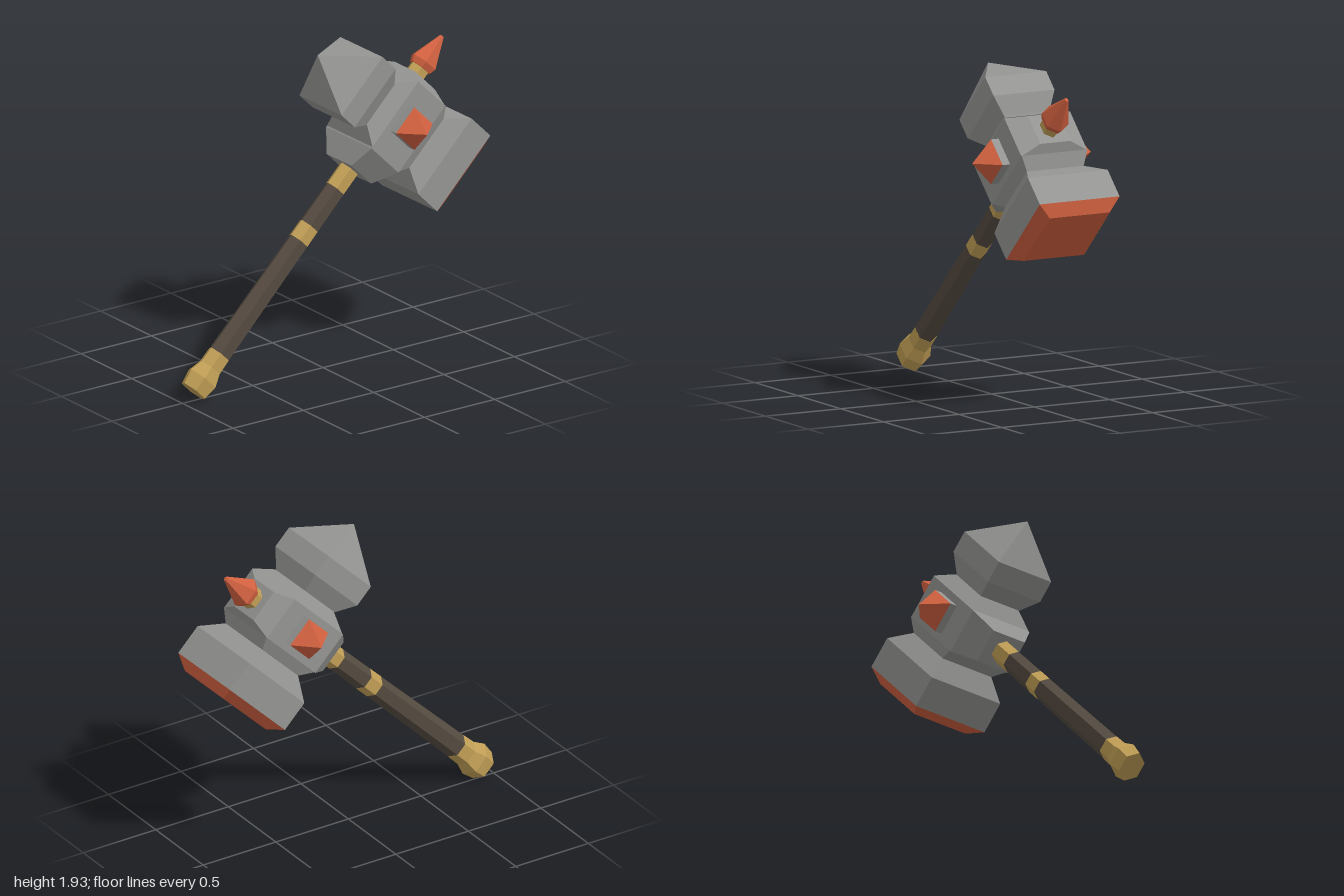
import * as THREE from 'three';

const mat = (name, color) => {
  const m = new THREE.MeshStandardMaterial({ color, flatShading: true });
  m.name = name;
  return m;
};

// Closed solid from [height, halfX, halfZ] rings along y, four sided (box-like) or n sided
function loft(sections, n) {
  const pos = [];
  const k = n === 4 ? Math.SQRT2 : 1;
  const turn = n === 4 ? Math.PI / 4 : 0;
  const point = (s, i) => {
    const t = turn + (i / n) * Math.PI * 2;
    return [s[1] * k * Math.cos(t), s[0], s[2] * k * Math.sin(t)];
  };
  const first = sections[0], last = sections[sections.length - 1];
  for (let i = 0; i < n; i++) {
    for (let r = 0; r < sections.length - 1; r++) {
      const lo = sections[r], up = sections[r + 1];
      pos.push(...point(lo, i), ...point(up, i), ...point(lo, i + 1));
      pos.push(...point(lo, i + 1), ...point(up, i), ...point(up, i + 1));
    }
    pos.push(0, first[0], 0, ...point(first, i), ...point(first, i + 1));
    pos.push(0, last[0], 0, ...point(last, i + 1), ...point(last, i));
  }
  const g = new THREE.BufferGeometry();
  g.setAttribute('position', new THREE.Float32BufferAttribute(pos, 3));
  g.computeVertexNormals();
  return g;
}

export function createModel() {
  const stone = mat('grey stone', 0x949492);
  const red = mat('orange red', 0xd0603f);
  const gold = mat('brass', 0xc09e55);
  const wood = mat('dark wood', 0x544a40);

  // Hammer is built upright about the centre of its head, then tilted
  const hammer = new THREE.Group();
  hammer.name = 'hammer';
  const add = (name, sections, n, material, rx = 0, rz = 0) => {
    const m = new THREE.Mesh(loft(sections, n), material);
    m.name = name;
    m.rotation.set(rx, 0, rz);
    hammer.add(m);
    return m;
  };
  const hex = (y, r) => [y, r, r * 0.866];
  const toRight = -Math.PI / 2, toLeft = Math.PI / 2;

  // Handle: pommel, grips and flush rings
  add('pommel', [hex(-1.962, 0.092), hex(-1.874, 0.107), hex(-1.796, 0.079), hex(-1.7, 0.077)], 6, gold);
  add('lowerGrip', [hex(-1.7, 0.076), hex(-0.894, 0.07)], 6, wood);
  add('middleRing', [hex(-0.894, 0.071), hex(-0.788, 0.07)], 6, gold);
  add('upperGrip', [hex(-0.788, 0.07), hex(-0.523, 0.068)], 6, wood);
  add('collar', [hex(-0.523, 0.069), hex(-0.36, 0.069)], 6, gold);

  // Head core with tapered top, bottom and sides
  add('headCore', [[-0.38, 0.1, 0.12], [-0.245, 0.137, 0.22], [0.23, 0.137, 0.22], [0.285, 0.1, 0.1]], 4, stone);
  add('coreRightSide', [[0.137, 0.235, 0.22], [0.208, 0.175, 0.19]], 4, stone, 0, toRight);
  add('coreLeftSide', [[0.137, 0.235, 0.22], [0.212, 0.145, 0.15]], 4, stone, 0, toLeft);

  // Striking block with a bevelled face
  add('strikingBlock', [[0.208, 0.175, 0.19], [0.315, 0.27, 0.267], [0.506, 0.27, 0.267]], 4, stone, 0, toRight);
  add('strikingFace', [[0.506, 0.27, 0.267], [0.568, 0.207, 0.2]], 4, red, 0, toRight);

  // Pointed rear block
  const rear = add('rearBlock', [[0.212, 0.145, 0.15], [0.32, 0.208, 0.204], [0.453, 0.208, 0.204], [0.69, 0.0001, 0.0001]],
    4, stone, 0, toLeft);
  rear.position.y = -0.008;

  // Side spikes on square plates
  for (const [side, s] of [['front', 1], ['back', -1]]) {
    add(side + 'SpikePlate', [[0.2, 0.093, 0.093], [0.27, 0.093, 0.093]], 4, stone, s * Math.PI / 2);
    add(side + 'Spike', [[0.27, 0.093, 0.093], [0.397, 0.0001, 0.0001]], 4, red, s * Math.PI / 2);
  }

  // Top spike on its neck
  add('topSpikeNeck', [hex(0.27, 0.066), hex(0.345, 0.066)], 6, gold);
  add('topSpike', [hex(0.34, 0.078), hex(0.378, 0.093), hex(0.565, 0.014)], 6, red);

  hammer.rotation.z = -Math.PI / 4;
  hammer.position.set(0.455, 1.455, 0);

  const model = new THREE.Group();
  model.name = 'warHammer';
  const turned = new THREE.Group();
  turned.name = 'turnedHammer';
  turned.rotation.y = 0.015;
  turned.add(hammer);
  model.add(turned);
  return model;
}
